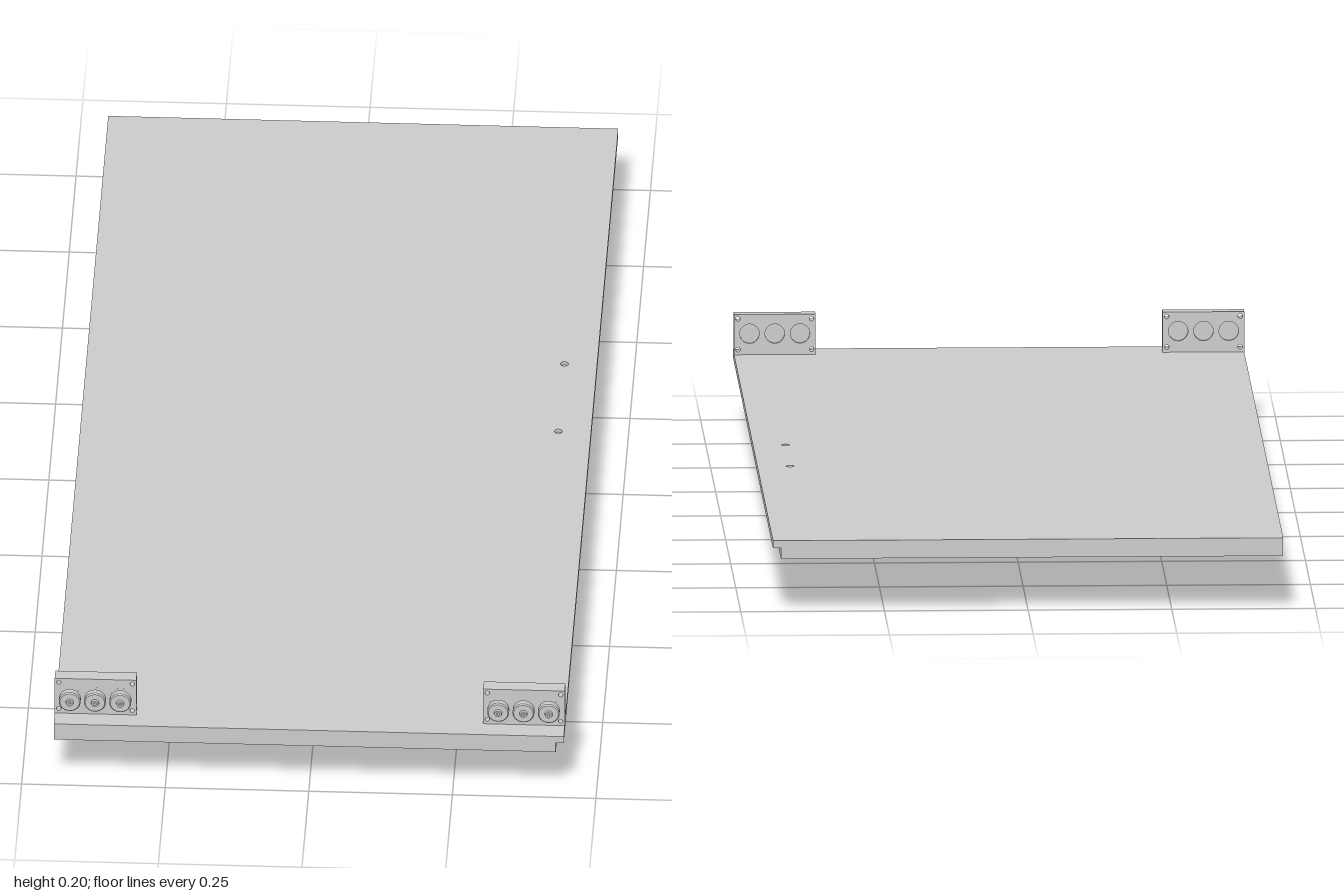
import * as THREE from 'three';

const material = new THREE.MeshStandardMaterial({ color: 0xcccccc });
const HANDLE = { x: 0.387, z0: -0.002, z1: -0.224 };

function add(parent, geometry, name, x = 0, y = 0, z = 0) {
  const mesh = new THREE.Mesh(geometry, material);
  mesh.name = name;
  mesh.position.set(x, y, z);
  parent.add(mesh);
  return mesh;
}

// Rectangle with optional rounded corners, as a Shape or a hole Path
function rect(Type, x0, x1, y0, y1, r = 0) {
  const p = new Type();
  if (!r) {
    p.moveTo(x0, y0).lineTo(x1, y0).lineTo(x1, y1).lineTo(x0, y1).closePath();
    return p;
  }
  p.moveTo(x0 + r, y0);
  p.absarc(x1 - r, y0 + r, r, -Math.PI / 2, 0);
  p.absarc(x1 - r, y1 - r, r, 0, Math.PI / 2);
  p.absarc(x0 + r, y1 - r, r, Math.PI / 2, Math.PI);
  p.absarc(x0 + r, y0 + r, r, Math.PI, Math.PI * 1.5);
  p.closePath();
  return p;
}

function circle(x, y, r) {
  return new THREE.Path().absarc(x, y, r, 0, Math.PI * 2);
}

// Horizontal door layer between two heights; shape y becomes -z
function layer(x1, y0, y1, recessed) {
  const shape = rect(THREE.Shape, -0.444, x1, -1, 1);
  for (const z of [HANDLE.z0, HANDLE.z1]) shape.holes.push(circle(HANDLE.x, -z, 0.007));
  if (recessed) shape.holes.push(rect(THREE.Path, -0.33, 0.333, -0.43, 0.67, 0.05));
  const g = new THREE.ExtrudeGeometry(shape, { depth: y1 - y0, bevelEnabled: false, curveSegments: 16 });
  return g.rotateX(-Math.PI / 2).translate(0, y0, 0);
}

// Mounting plate with corner screw holes and three flanged rollers
function rollerBracket(side) {
  const bracket = new THREE.Group();
  bracket.name = side < 0 ? 'rightRollerBracket' : 'leftRollerBracket';
  bracket.position.x = side * 0.373;

  const plate = rect(THREE.Shape, -0.071, 0.071, 0.125, 0.196);
  for (const x of [-0.064, 0.064])
    for (const y of [0.134, 0.188]) plate.holes.push(circle(x, y, 0.004));
  const spacing = [-0.044, 0, 0.044];
  for (const x of spacing) plate.holes.push(circle(x, 0.162, 0.017));
  add(bracket, new THREE.ExtrudeGeometry(plate, { depth: 0.025, bevelEnabled: false, curveSegments: 16 }),
    'bracketPlate', 0, 0, 0.939);

  // Roller profile from back to front (radius, z)
  const profile = [
    [0, 0.943], [0.017, 0.943], [0.017, 0.964], [0.011, 0.964], [0.011, 0.972], [0.019, 0.974],
    [0.019, 0.985], [0.017, 0.987], [0.007, 0.987], [0.006, 0.991], [0.003, 0.991], [0.002, 0.988], [0, 0.988],
  ];
  // Each segment is lathed with its own ring of points so edges stay crisp
  for (const x of spacing) {
    const roller = new THREE.Group();
    roller.name = 'roller';
    roller.position.set(x, 0.162, 0);
    bracket.add(roller);
    for (let i = 0; i < profile.length - 1; i++) {
      const points = [profile[i], profile[i + 1]].map(([r, z]) => new THREE.Vector2(r, z));
      add(roller, new THREE.LatheGeometry(points, 28).rotateX(Math.PI / 2), 'rollerSurface');
    }
  }
  return bracket;
}

// Bent pull handle with slightly oval section
function pullHandle() {
  const group = new THREE.Group();
  group.name = 'pullHandle';
  const { x, z0, z1 } = HANDLE;
  const top = 0.095, low = 0.0105, r = 0.03, k = r * 0.45;
  const v = (y, z) => new THREE.Vector3(0, y, z);
  const path = new THREE.CurvePath();
  path.add(new THREE.LineCurve3(v(top, z0), v(low + r, z0)));
  path.add(new THREE.CubicBezierCurve3(v(low + r, z0), v(low + k, z0), v(low, z0 - k), v(low, z0 - r)));
  path.add(new THREE.LineCurve3(v(low, z0 - r), v(low, z1 + r)));
  path.add(new THREE.CubicBezierCurve3(v(low, z1 + r), v(low, z1 + k), v(low + k, z1), v(low + r, z1)));
  path.add(new THREE.LineCurve3(v(low + r, z1), v(top, z1)));
  const bar = new THREE.TubeGeometry(path, 120, 0.0105, 20, false).scale(1.2, 1, 1);
  add(group, bar, 'handleBar', x);
  // Fixing screws through the door
  for (const z of [z0, z1])
    add(group, new THREE.CylinderGeometry(0.005, 0.005, 0.03, 16), 'handleScrew', x, 0.105, z);
  return group;
}

export function createModel() {
  const model = new THREE.Group();
  model.name = 'slidingDoor';

  // Door leaf: top sheet, rim with overhang, and narrower recessed backing
  const door = new THREE.Group();
  door.name = 'doorLeaf';
  add(door, layer(0.444, 0.119, 0.125, false), 'topSheet');
  add(door, layer(0.444, 0.112, 0.119, true), 'overhangingRim');
  add(door, layer(0.43, 0.093, 0.112, true), 'recessedBacking');
  model.add(door);

  model.add(pullHandle(), rollerBracket(-1), rollerBracket(1));
  return model;
}
